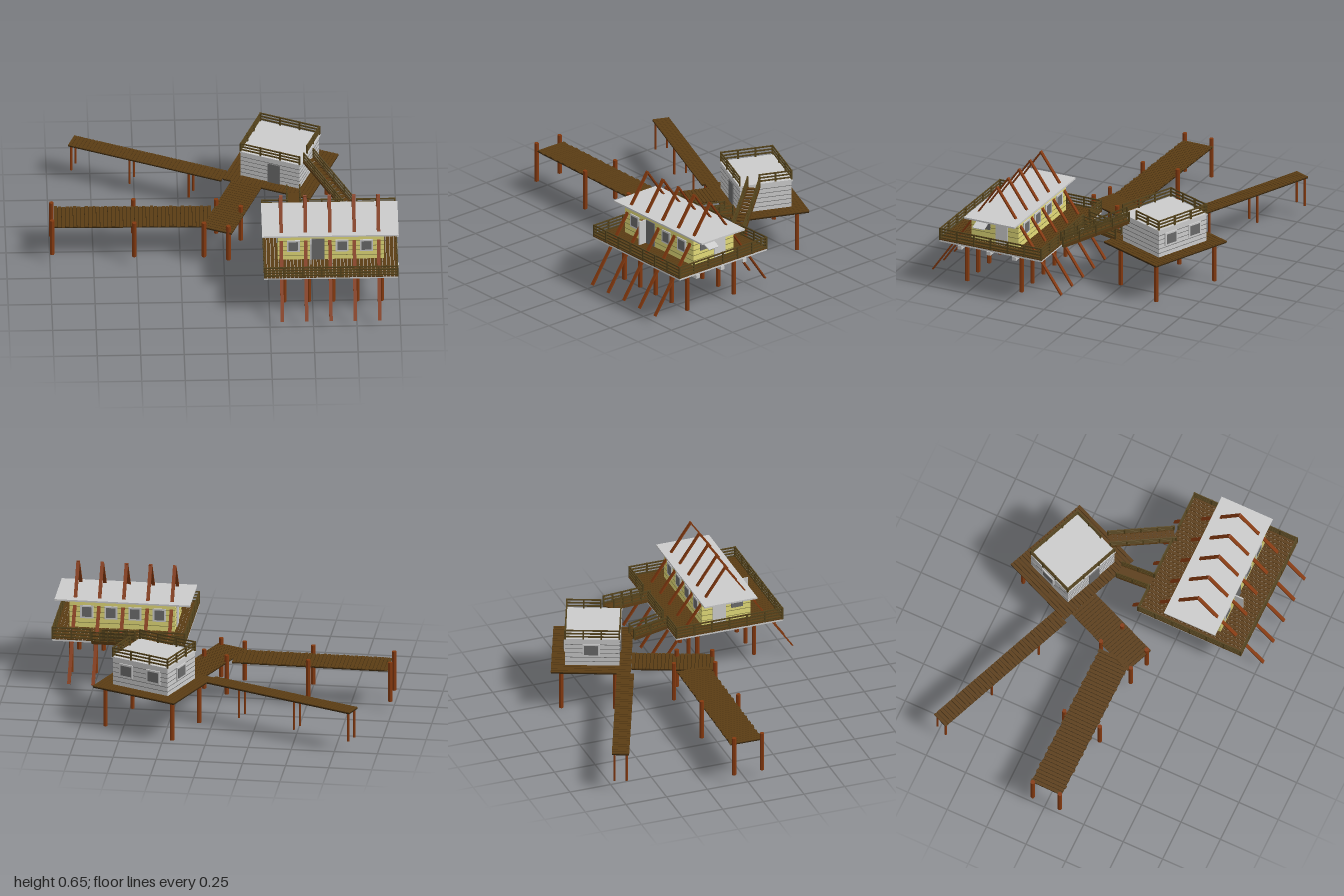
import * as THREE from 'three';

const mat = (c) => new THREE.MeshStandardMaterial({ color: c, flatShading: true });
const GREY = mat(0xcccccc), PLANK = mat(0x5a3c14), UNDER = mat(0x33230c), POST = mat(0x84390f),
  RAIL = mat(0x54431c), YELLOW = mat(0xe2da78), DARK = mat(0x6a6a6a), SEAM = mat(0x7d7840);
const V = (x, y, z) => new THREE.Vector3(x, y, z);

function box(parent, name, m, w, h, d, x, y, z) {
  const mesh = new THREE.Mesh(new THREE.BoxGeometry(w, h, d), m);
  mesh.position.set(x, y, z);
  mesh.name = name;
  parent.add(mesh);
  return mesh;
}

function group(parent, name) {
  const g = new THREE.Group();
  g.name = name;
  parent.add(g);
  return g;
}

// Square bar from a to b, kept upright
function bar(parent, name, m, a, b, w, h) {
  const c = a.clone().add(b).multiplyScalar(0.5);
  const mesh = box(parent, name, m, w, h, a.distanceTo(b), c.x, c.y, c.z);
  mesh.quaternion.setFromRotationMatrix(new THREE.Matrix4().lookAt(b, a, V(0, 1, 0)));
  return mesh;
}

function post(parent, x, z, y0, y1, r = 0.013) {
  const mesh = new THREE.Mesh(new THREE.CylinderGeometry(r, r, y1 - y0, 8), POST);
  mesh.position.set(x, (y0 + y1) / 2, z);
  mesh.name = 'supportPost';
  parent.add(mesh);
}

// Slab covered with separate planks laid side by side along the chosen axis
function deck(parent, name, x0, x1, z0, z1, top, thick, axis, under = UNDER, jitter = 0) {
  const g = group(parent, name), w = x1 - x0, d = z1 - z0, cx = (x0 + x1) / 2, cz = (z0 + z1) / 2;
  box(g, 'deckUnderside', under, w - 0.004, thick * 0.6, d - 0.004, cx, top - thick * 0.7, cz);
  const span = axis === 'x' ? w : d, n = Math.round(span / 0.022), p = span / n;
  for (let i = 0; i < n; i++) {
    const t = (i + 0.5) * p, off = jitter * (((i * 7) % 5) / 2 - 1);
    if (axis === 'x') box(g, 'plank', PLANK, p - 0.003, thick * 0.4, d, x0 + t, top - thick * 0.2, cz + off);
    else box(g, 'plank', PLANK, w, thick * 0.4, p - 0.003, cx + off, top - thick * 0.2, z0 + t);
  }
  return g;
}

// Posts and parallel rails following the line a-b
function railing(parent, a, b, height, rails) {
  const g = group(parent, 'railing'), n = Math.max(1, Math.round(a.distanceTo(b) / 0.11));
  for (let i = 0; i <= n; i++) {
    const p = a.clone().lerp(b, i / n);
    box(g, 'railPost', RAIL, 0.009, height, 0.009, p.x, p.y + height / 2, p.z);
  }
  for (let i = 1; i <= rails; i++) {
    const up = V(0, height * i / rails - 0.004, 0);
    bar(g, 'rail', RAIL, a.clone().add(up), b.clone().add(up), 0.006, 0.008);
  }
}

function stairs(parent, name, a, b, width, steps) {
  const g = group(parent, name), side = V(b.z - a.z, 0, a.x - b.x).normalize().multiplyScalar(width / 2);
  for (const s of [-1, 1]) {
    const p = a.clone().addScaledVector(side, s), q = b.clone().addScaledVector(side, s);
    bar(g, 'stringer', PLANK, p, q, 0.008, 0.018);
    railing(g, p, q, 0.065, 3);
  }
  const run = V(b.x - a.x, 0, b.z - a.z).normalize().multiplyScalar(0.012);
  for (let i = 0; i < steps; i++) {
    const c = a.clone().lerp(b, (i + 0.5) / steps);
    bar(g, 'tread', PLANK, c.clone().sub(run), c.clone().add(run), width, 0.006);
  }
}

// Plain walls with horizontal board seams
function walls(parent, m, seam, x0, x1, z0, z1, y0, y1, rows) {
  const w = x1 - x0, d = z1 - z0, cx = (x0 + x1) / 2, cz = (z0 + z1) / 2;
  box(parent, 'walls', m, w, y1 - y0, d, cx, (y0 + y1) / 2, cz);
  for (let i = 1; i < rows; i++)
    box(parent, 'boardSeam', seam, w + 0.002, 0.003, d + 0.002, cx, y0 + (y1 - y0) * i / rows, cz);
}

function buildHouse(root) {
  const g = group(root, 'mainHouse');
  deck(g, 'houseDeck', 0.215, 0.99, 0.02, 0.68, 0.308, 0.018, 'x', GREY);
  for (const z of [0.195, 0.36, 0.545]) box(g, 'floorBeam', GREY, 0.74, 0.022, 0.025, 0.625, 0.28, z);
  for (let i = 0; i < 5; i++)
    for (const z of [0.195, 0.545]) post(g, 0.337 + i * 0.14, z, 0.035, 0.292);

  walls(g, YELLOW, SEAM, 0.3, 0.91, 0.21, 0.51, 0.305, 0.468, 5);
  box(g, 'roof', GREY, 0.785, 0.01, 0.325, 0.603, 0.474, 0.355);

  // Windows and doors on the long walls
  [0.39, 0.53, 0.67, 0.81].forEach((x, i) => {
    for (const z of [0.21, 0.51]) {
      const door = i === 1 && z > 0.3, h = door ? 0.145 : 0.08, y = door ? 0.382 : 0.405;
      box(g, door ? 'doorway' : 'windowFrame', door ? DARK : GREY, 0.075, h, 0.012, x, y, z);
      if (!door) box(g, 'windowPane', DARK, 0.055, h - 0.02, 0.015, x, y, z);
    }
  });
  box(g, 'openDoor', GREY, 0.007, 0.145, 0.055, 0.49, 0.382, 0.538);

  // End walls: door, window and propped shutter
  for (const [x, s] of [[0.3, -1], [0.91, 1]]) {
    box(g, 'endDoor', GREY, 0.012, 0.15, 0.08, x, 0.385, 0.315);
    box(g, 'endWindow', DARK, 0.012, 0.06, 0.07, x, 0.42, 0.425);
    if (s > 0) bar(g, 'proppedShutter', GREY, V(x, 0.455, 0.425), V(x + 0.085, 0.423, 0.425), 0.075, 0.005);
  }

  // Leaning frames that straddle the roof
  for (let i = 0; i < 5; i++) {
    const x = 0.32 + i * 0.14;
    for (const s of [-1, 1])
      bar(g, 'leaningPole', POST, V(x, 0.655, 0.36 - s * 0.003), V(x, 0.057, 0.36 + s * 0.413), 0.02, 0.008);
  }

  // Railings, with gaps at the stairs
  const y = 0.3, c = (x, z) => V(x, y, z);
  railing(g, c(0.22, 0.675), c(0.985, 0.675), 0.075, 4);
  for (const x of [0.22, 0.985]) railing(g, c(x, 0.025), c(x, 0.675), 0.075, 4);
  for (const [a, b] of [[0.22, 0.365], [0.445, 0.685], [0.765, 0.985]])
    railing(g, c(a, 0.025), c(b, 0.025), 0.075, 4);
}

function buildHut(root) {
  const g = group(root, 'hutPier');
  g.position.set(0.34, 0, -0.45);
  g.rotation.y = -Math.PI / 8;
  const top = 0.26;
  deck(g, 'hutDeck', -0.27, 0.27, -0.23, 0.23, top, 0.012, 'x');
  deck(g, 'linkWalkway', -0.215, -0.03, 0.23, 0.704, top, 0.012, 'z');
  deck(g, 'backWalkway', -1.215, -0.27, 0.15, 0.25, top, 0.012, 'x');
  for (const x of [-0.225, 0.217]) for (const z of [-0.17, 0.14]) post(g, x, z, 0.003, 0.25);
  for (const x of [-1.2, -0.84, -0.475])
    for (const z of [0.165, 0.235]) post(g, x, z, 0.075, 0.25, 0.007);

  // Flat-roofed hut
  const x0 = -0.183, x1 = 0.18, z0 = -0.15, z1 = 0.163;
  walls(g, GREY, DARK, x0, x1, z0, z1, 0.257, 0.422, 6);
  box(g, 'hutRoof', GREY, x1 - x0 + 0.01, 0.01, z1 - z0 + 0.01, 0, 0.427, 0.007);
  box(g, 'hutDoor', DARK, 0.075, 0.13, 0.01, 0.02, 0.325, z1);
  for (const x of [-0.09, 0.09]) {
    box(g, 'hutWindowFrame', GREY, 0.09, 0.08, 0.014, x, 0.36, z0);
    box(g, 'hutWindowPane', DARK, 0.07, 0.06, 0.018, x, 0.36, z0);
  }
  box(g, 'hutWindowFrame', GREY, 0.014, 0.08, 0.1, x0, 0.36, 0);
  box(g, 'hutWindowPane', DARK, 0.018, 0.06, 0.08, x0, 0.36, 0);

  // Roof railing, open where the stairs arrive
  const c = (x, z) => V(x, 0.43, z);
  railing(g, c(x0, z0), c(x1, z0), 0.06, 3);
  railing(g, c(x0, z1), c(x1, z1), 0.06, 3);
  railing(g, c(x0, z0), c(x0, z1), 0.06, 3);
  railing(g, c(x1, z0), c(x1, 0.045), 0.06, 3);
}

export function createModel() {
  const root = new THREE.Group();
  root.name = 'stiltHouses';
  buildHouse(root);
  buildHut(root);

  // Long side walkway with uneven plank ends
  const walk = group(root, 'sideWalkway');
  walk.rotation.y = -0.015;
  deck(walk, 'walkwayDeck', -0.975, -0.07, -0.082, 0.112, 0.258, 0.011, 'x', UNDER, 0.004);
  const posts = [[-0.987, -0.08], [-0.987, 0.092], [-0.515, -0.1], [-0.515, 0.125],
    [-0.115, 0.135], [-0.04, -0.09], [0.025, 0.17], [0.1, -0.02]];
  for (const [x, z] of posts) post(root, x, z, 0.06, 0.3);

  stairs(root, 'lowerStairs', V(0.405, 0.3, 0.022), V(0.405, 0.262, -0.18), 0.075, 9);
  stairs(root, 'roofStairs', V(0.725, 0.3, 0.022), V(0.497, 0.425, -0.288), 0.07, 15);
  return root;
}
